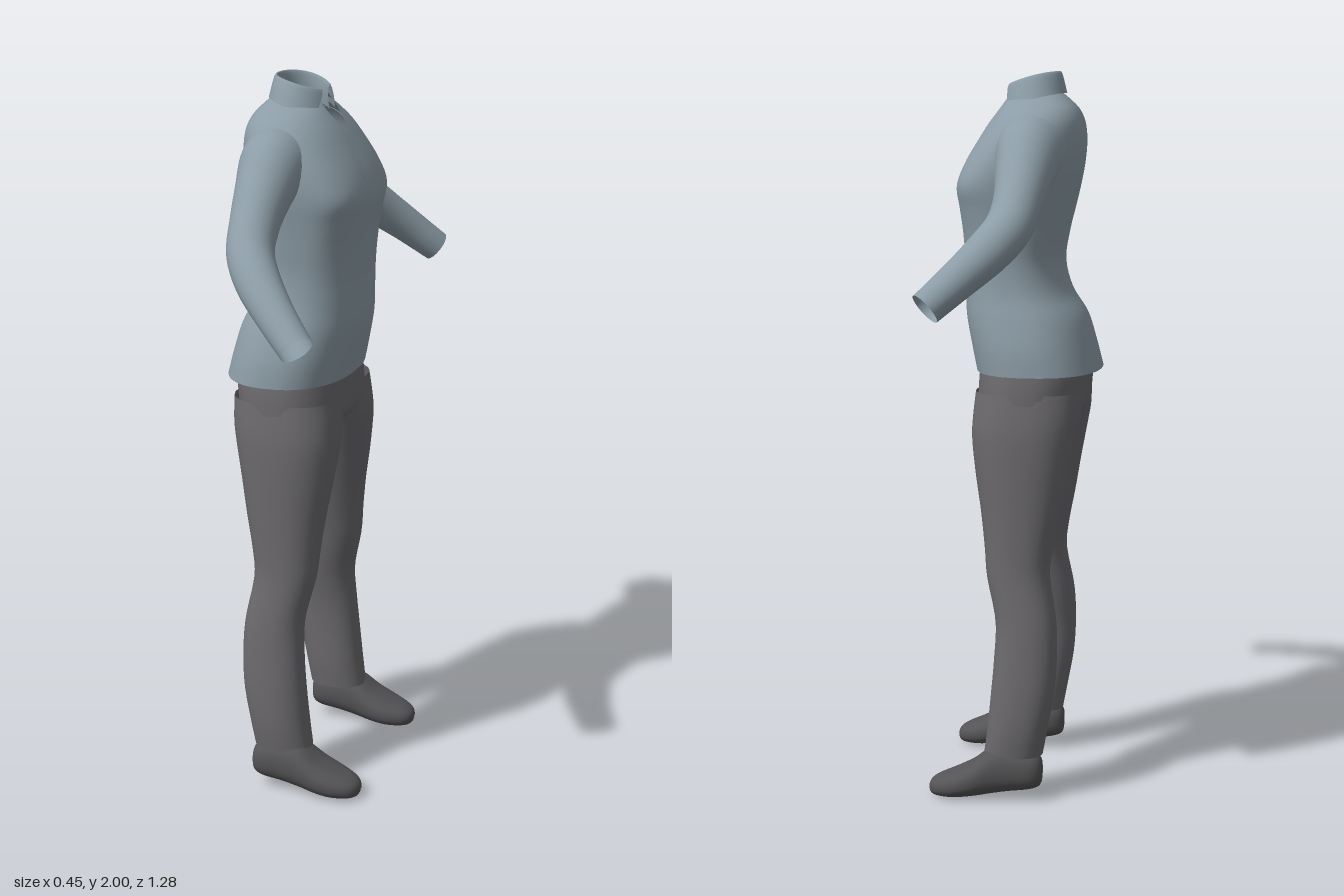
import * as THREE from 'three';

const material = (name, color) => {
  const m = new THREE.MeshStandardMaterial({ color, side: THREE.DoubleSide });
  m.name = name;
  return m;
};

// Smooth interpolation through a list of number rows, t from 0 to 1
function sample(rows, t) {
  const f = Math.min(Math.max(t, 0), 1) * (rows.length - 1);
  const i = Math.min(Math.floor(f), rows.length - 2), k = f - i;
  const [a, b, c, d] = [rows[Math.max(i - 1, 0)], rows[i], rows[i + 1], rows[Math.min(i + 2, rows.length - 1)]];
  return b.map((q, j) => q + 0.5 * k * (c[j] - a[j] +
    k * (2 * a[j] - 5 * q + 4 * c[j] - d[j] + k * (3 * (q - c[j]) + d[j] - a[j]))));
}

// Grid surface from point(u, t); u wraps round when closed
function surface(name, mat, point, nu, nt, closed = true) {
  const pos = [], idx = [], cols = closed ? nu : nu + 1;
  for (let j = 0; j <= nt; j++)
    for (let i = 0; i < cols; i++) pos.push(...point(i / nu, j / nt));
  for (let j = 0; j < nt; j++)
    for (let i = 0; i < nu; i++) {
      const a = j * cols + i, b = j * cols + (i + 1) % cols;
      idx.push(a, a + cols, b, b, a + cols, b + cols);
    }
  const g = new THREE.BufferGeometry();
  g.setAttribute('position', new THREE.Float32BufferAttribute(pos, 3));
  g.setIndex(idx);
  g.computeVertexNormals();
  const mesh = new THREE.Mesh(g, mat);
  mesh.name = name;
  return mesh;
}

const power = (v, e) => Math.sign(v) * Math.abs(v) ** e;

// Point on a level ring; section row: y, back x, front x, z from, z to, front squareness
function ring([y, xb, xf, z0, z1, p], angle) {
  const c = Math.cos(angle), e = 2 / (c > 0 ? p : 2.3);
  return [(xb + xf) / 2 + (xf - xb) / 2 * power(c, e), y,
    (z0 + z1) / 2 + (z1 - z0) / 2 * power(Math.sin(angle), e)];
}

export function createModel() {
  const group = new THREE.Group();
  const shirt = material('shirt blue grey', 0x8c9ca6);
  const trousers = material('trouser grey', 0x6b696c);
  const leather = material('shoe dark grey', 0x545355);

  // Shirt body, open at hem and neck, with a V cut at the front of the neck
  const body = [
    [1.18, -0.228, 0.118, 0.255, 2.4], [1.25, -0.21, 0.132, 0.25, 2.4],
    [1.33, -0.185, 0.147, 0.232, 2.4], [1.40, -0.142, 0.15, 0.213, 2.4],
    [1.48, -0.122, 0.152, 0.207, 2.4], [1.56, -0.133, 0.156, 0.214, 2.6],
    [1.63, -0.15, 0.163, 0.222, 3.0], [1.69, -0.164, 0.168, 0.23, 3.4],
    [1.75, -0.175, 0.148, 0.232, 3.0], [1.81, -0.18, 0.115, 0.225, 2.6],
    [1.86, -0.175, 0.085, 0.205, 2.3], [1.895, -0.16, 0.06, 0.17, 2.1],
    [1.92, -0.138, 0.044, 0.12, 2], [1.94, -0.115, 0.033, 0.082, 2],
  ];
  group.add(surface('shirtBody', shirt, (u, t) => {
    const angle = u * Math.PI * 2;
    const fromFront = Math.min(angle, Math.PI * 2 - angle);
    const end = 1 - 0.25 * Math.max(0, 1 - fromFront / 0.5);
    const [y, xb, xf, hz, p] = sample(body, t * end);
    return ring([y, xb, xf, -hz, hz, p], angle);
  }, 72, 56));

  // Folded collar: inner stand, rolled top edge, outer leaf ending in two points
  // rows: half depth, half width, height, drop at front, half angle of the gap
  const collar = [
    [0.07, 0.08, 1.925, 0.03, 0.5], [0.066, 0.077, 1.965, 0.035, 0.45],
    [0.068, 0.08, 1.997, 0.035, 0.42], [0.077, 0.089, 1.992, 0.04, 0.46],
    [0.09, 0.112, 1.94, 0.055, 0.8],
  ];
  group.add(surface('collar', shirt, (u, t) => {
    const [rx, rz, y, drop, gap] = sample(collar, t);
    const a = gap + u * (Math.PI * 2 - 2 * gap);
    return [-0.036 + rx * Math.cos(a), y - drop * ((1 + Math.cos(a)) / 2) ** 1.5, rz * Math.sin(a)];
  }, 48, 12, false));

  // Seat of the trousers, open at the waist
  const seat = [
    [1.24, -0.185, 0.105, 0.232, 2.4], [1.18, -0.198, 0.11, 0.247, 2.4],
    [1.12, -0.195, 0.114, 0.254, 2.4], [1.07, -0.184, 0.114, 0.25, 2.3],
    [1.035, -0.14, 0.08, 0.2, 2.2],
  ];
  group.add(surface('trouserSeat', trousers, (u, t) => {
    const [y, xb, xf, hz, p] = sample(seat, t);
    return ring([y, xb, xf, -hz, hz, p], u * Math.PI * 2);
  }, 48, 16));

  const leg = [
    [1.13, -0.185, 0.108, -0.01, 0.25, 2.4], [1.06, -0.183, 0.115, -0.004, 0.262, 2.4],
    [1.0, -0.172, 0.116, 0.018, 0.268, 2.3], [0.9, -0.152, 0.104, 0.048, 0.27, 2.2],
    [0.8, -0.134, 0.088, 0.075, 0.27, 2.2], [0.7, -0.114, 0.076, 0.1, 0.271, 2.2],
    [0.62, -0.106, 0.068, 0.118, 0.275, 2.2], [0.5, -0.126, 0.042, 0.142, 0.29, 2.2],
    [0.4, -0.13, 0.044, 0.158, 0.3, 2.2], [0.3, -0.124, 0.052, 0.162, 0.308, 2.2],
    [0.2, -0.106, 0.062, 0.162, 0.31, 2.2], [0.125, -0.092, 0.072, 0.168, 0.302, 2.2],
  ];
  // Sleeve rows: centre x, y, z, depth radius, height radius
  const sleeve = [
    [-0.05, 1.795, 0.15, 0.095, 0.092], [-0.048, 1.772, 0.21, 0.09, 0.1],
    [-0.045, 1.727, 0.28, 0.077, 0.083], [-0.04, 1.66, 0.36, 0.066, 0.07],
    [-0.025, 1.598, 0.43, 0.063, 0.063], [0.02, 1.54, 0.492, 0.06, 0.058],
    [0.09, 1.472, 0.552, 0.052, 0.05], [0.165, 1.403, 0.602, 0.046, 0.044],
  ];
  // Shoe rows: x, sole y, top y, half width
  const shoe = [
    [-0.093, 0.07, 0.09, 0.008], [-0.088, 0.042, 0.118, 0.034], [-0.06, 0.03, 0.138, 0.052],
    [0.0, 0.022, 0.15, 0.058], [0.05, 0.014, 0.142, 0.064], [0.1, 0.006, 0.105, 0.071],
    [0.15, 0.001, 0.079, 0.069], [0.195, 0.002, 0.06, 0.052], [0.217, 0.008, 0.046, 0.03],
    [0.225, 0.022, 0.03, 0.004],
  ];

  for (const [side, s] of [['left', 1], ['right', -1]]) {
    const faceSide = 1; // parts are mirrored across z for the model's two sides
    const mirror = ([x, y, z]) => [x, y, z * s * faceSide];

    group.add(surface(side + 'TrouserLeg', trousers,
      (u, t) => mirror(ring(sample(leg, t), u * Math.PI * 2)), 32, 40));

    group.add(surface(side + 'Sleeve', shirt, (u, t) => {
      const [x, y, z, rd, rh] = sample(sleeve, t);
      const a = sample(sleeve, t - 0.02), b = sample(sleeve, t + 0.02);
      const along = new THREE.Vector3(b[0] - a[0], b[1] - a[1], b[2] - a[2]).normalize();
      const depth = new THREE.Vector3(1, 0, 0).addScaledVector(along, -along.x).normalize();
      const height = new THREE.Vector3().crossVectors(along, depth);
      const q = new THREE.Vector3(x, y, z)
        .addScaledVector(depth, rd * Math.cos(u * Math.PI * 2))
        .addScaledVector(height, rh * Math.sin(u * Math.PI * 2));
      return mirror(q.toArray());
    }, 32, 36));

    group.add(surface(side + 'Shoe', leather, (u, t) => {
      const [x, y0, y1, w] = sample(shoe, t);
      const a = u * Math.PI * 2;
      return mirror([x, (y0 + y1) / 2 + (y1 - y0) / 2 * power(Math.sin(a), 0.85),
        0.253 + w * power(Math.cos(a), 0.85)]);
    }, 32, 36));
  }
  return group;
}
